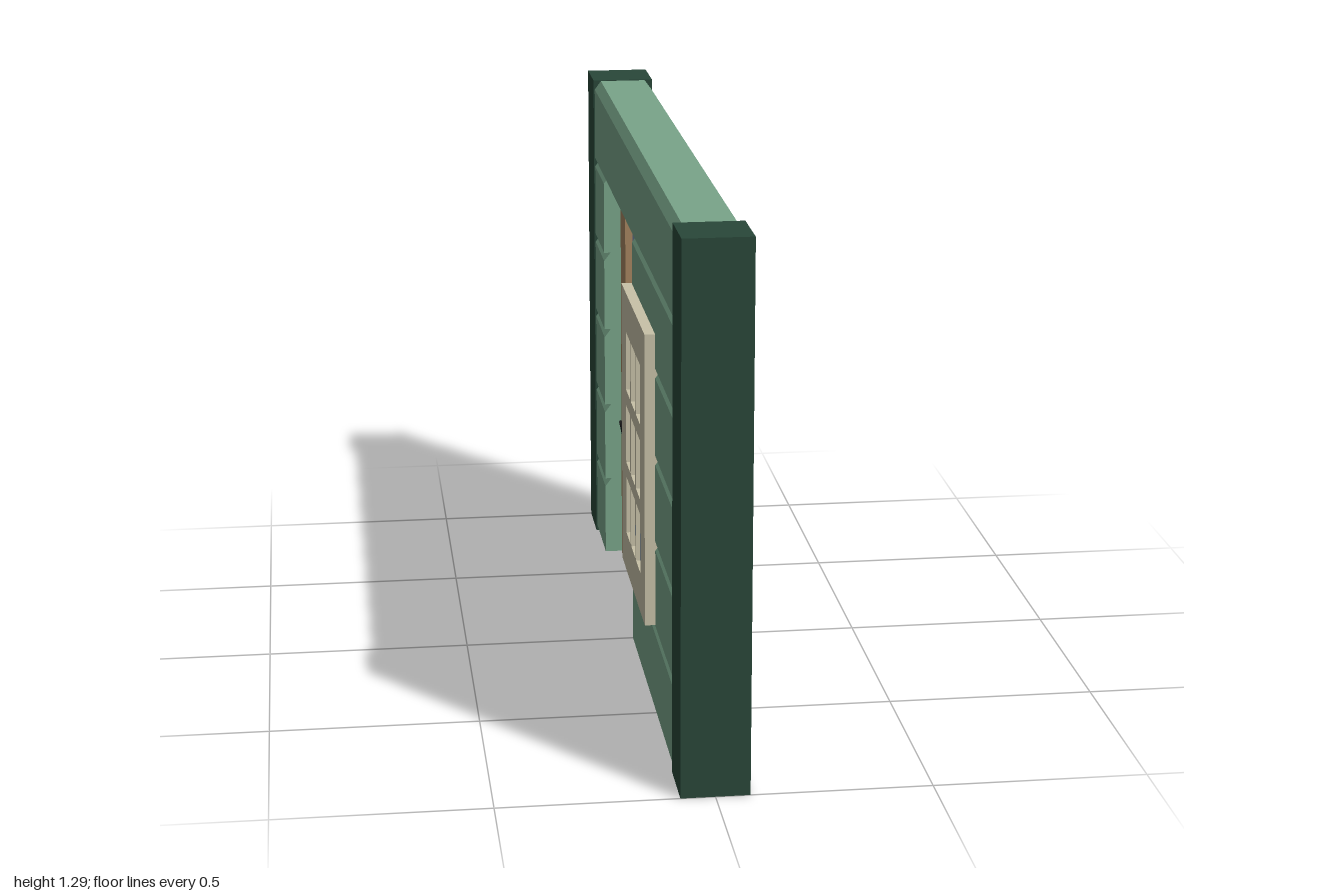
import * as THREE from 'three';

const mat = (color) => new THREE.MeshStandardMaterial({ color, flatShading: true });

function add(parent, name, geometry, material) {
  const mesh = new THREE.Mesh(geometry, material);
  mesh.name = name;
  parent.add(mesh);
  return mesh;
}

// Box from its limits along each axis
function boxGeo(x0, x1, y0, y1, z0, z1) {
  return new THREE.BoxGeometry(x1 - x0, y1 - y0, z1 - z0)
    .translate((x0 + x1) / 2, (y0 + y1) / 2, (z0 + z1) / 2);
}

// Upright panel in the z-y plane with rectangular holes, centred on x = 0
function panelGeo(halfDepth, [z0, z1, y0, y1], holes) {
  const corners = (a, b, c, d) => [[a, c], [b, c], [b, d], [a, d]].map((p) => new THREE.Vector2(...p));
  const shape = new THREE.Shape(corners(z0, z1, y0, y1));
  for (const h of holes) shape.holes.push(new THREE.Path(corners(...h).reverse()));
  return new THREE.ExtrudeGeometry(shape, { depth: 2 * halfDepth, bevelEnabled: false })
    .translate(0, 0, -halfDepth)
    .rotateY(-Math.PI / 2);
}

// Board with both top edges chamfered, running along z
const PITCH = 0.213, BASE = 0.015;
function plankGeo(y, z0, z1) {
  const t = y + PITCH, c = t - 0.023;
  const shape = new THREE.Shape([
    [-0.077, y], [0.077, y], [0.077, c], [0.06, t], [-0.06, t], [-0.077, c],
  ].map((p) => new THREE.Vector2(...p)));
  return new THREE.ExtrudeGeometry(shape, { depth: z1 - z0, bevelEnabled: false }).translate(0, 0, z0);
}

export function createModel() {
  const group = new THREE.Group();
  group.name = 'wallWithDoor';
  const green = mat(0x79a58a), darkGreen = mat(0x294739), brown = mat(0xa58560);
  const cream = mat(0xc8c2a8), blue = mat(0x7893b3), black = mat(0x1c1c1c);

  // End posts
  for (const s of [-1, 1]) {
    add(group, s > 0 ? 'frontPost' : 'backPost', new THREE.BoxGeometry(0.16, 1.295, 0.15), darkGreen)
      .position.set(0, 0.6475, s * 0.925);
  }

  // Siding, split around the doorway except for the top board
  const siding = new THREE.Group();
  siding.name = 'siding';
  group.add(siding);
  for (let i = 0; i < 6; i++) {
    const spans = i === 5 ? [[-0.85, 0.85]] : [[-0.85, -0.625], [0.04, 0.85]];
    for (const [a, b] of spans) add(siding, 'plank', plankGeo(BASE + i * PITCH, a, b), green);
  }
  add(siding, 'doorHeader', boxGeo(-0.066, 0.066, 1.072, 1.082, -0.625, 0.04), green);

  // Door with a recessed pane
  const door = new THREE.Group();
  door.name = 'door';
  group.add(door);
  const opening = [-0.515, -0.06, 0.645, 0.99];
  add(door, 'doorPanel', panelGeo(0.032, [-0.625, 0.04, 0.01, 1.074], [opening]), brown);
  add(door, 'doorGlass', boxGeo(-0.012, 0.012, 0.645, 0.99, -0.515, -0.06), blue);

  // Window block with a three by three grid of panes
  const win = new THREE.Group();
  win.name = 'window';
  group.add(win);
  const panes = [];
  for (const z of [0.12, 0.225, 0.33])
    for (const y of [0.33, 0.515, 0.703]) panes.push([z, z + 0.088, y, y + 0.148]);
  add(win, 'windowFrame', panelGeo(0.102, [0.028, 0.51, 0.23, 0.95], panes), cream);
  add(win, 'windowGlass', boxGeo(-0.092, 0.092, 0.31, 0.87, 0.1, 0.44), blue);

  // Door handle on each face: plate, spindle and tapered lever
  for (const s of [-1, 1]) {
    const handle = new THREE.Group();
    handle.name = s > 0 ? 'leftHandle' : 'rightHandle';
    group.add(handle);
    add(handle, 'plate', new THREE.BoxGeometry(0.02, 0.155, 0.083), black)
      .position.set(s * 0.04, 0.523, -0.02);
    add(handle, 'spindle', new THREE.CylinderGeometry(0.013, 0.013, 0.05, 12).rotateZ(Math.PI / 2), black)
      .position.set(s * 0.068, 0.548, -0.025);
    add(handle, 'lever', new THREE.CylinderGeometry(0.004, 0.009, 0.105, 8).rotateX(-Math.PI / 2), black)
      .position.set(s * 0.09, 0.548, -0.062);
  }
  return group;
}
